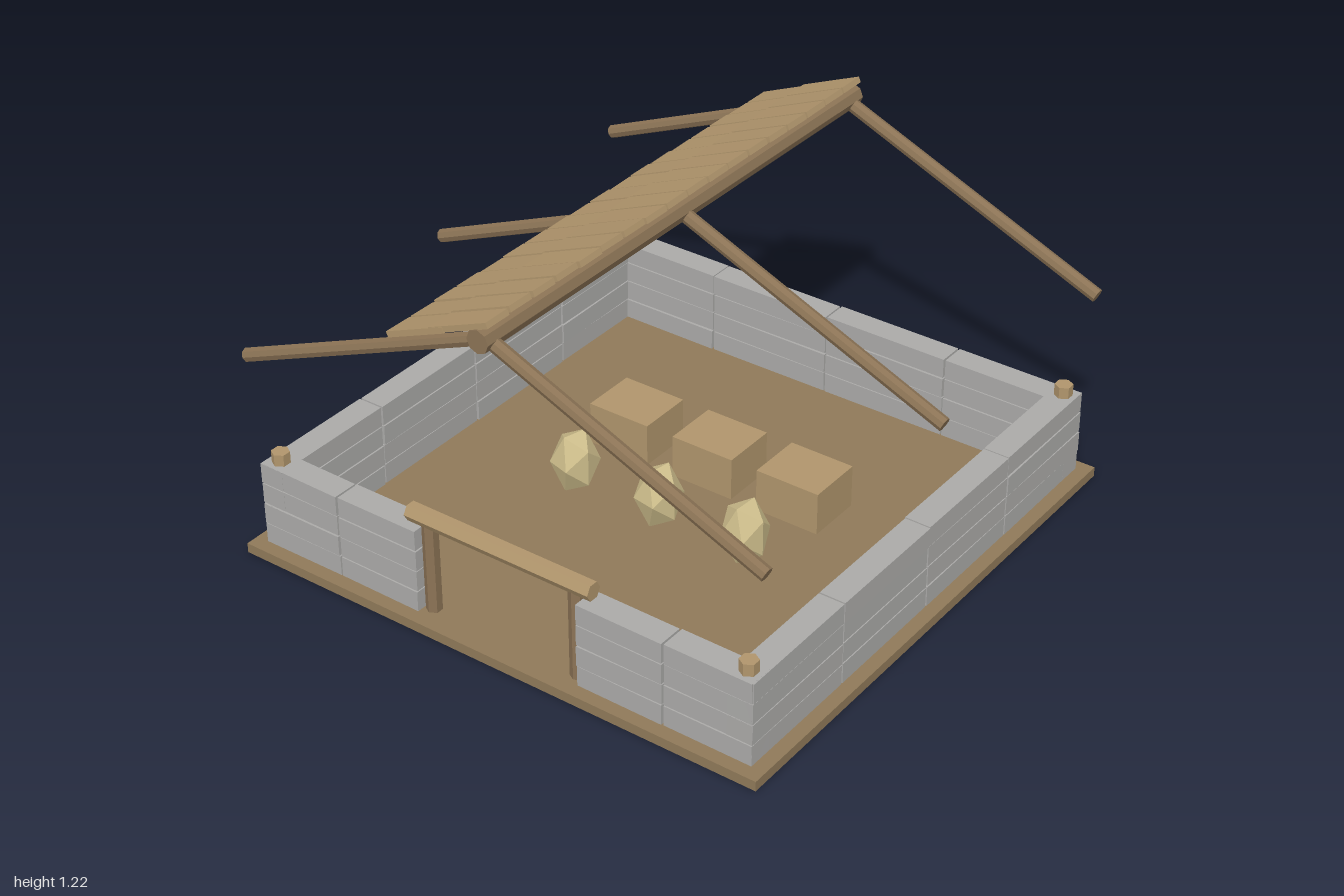
import * as THREE from 'three';

const mat = (name, color) => Object.assign(new THREE.MeshStandardMaterial({ color, flatShading: true }), { name });

export function createModel() {
  const earth = mat('earth brown', 0x8f7959);
  const log = mat('log brown', 0x8b7355);
  const timber = mat('light timber', 0xb0956c);
  const stone = mat('grey stone', 0xabaaa8);
  const shell = mat('pale shell', 0xcdbd8b);

  const model = new THREE.Group();
  model.name = 'roofedEnclosure';

  // Small seeded jitter for hand-laid parts
  let seed = 7;
  const jitter = (amount) => {
    seed = (seed * 16807) % 2147483647;
    return (seed / 2147483647 - 0.5) * 2 * amount;
  };

  const group = (name) => {
    const g = new THREE.Group();
    g.name = name;
    model.add(g);
    return g;
  };
  const add = (parent, name, geometry, material, x, y, z) => {
    const mesh = new THREE.Mesh(geometry, material);
    mesh.name = name;
    mesh.position.set(x, y, z);
    parent.add(mesh);
    return mesh;
  };
  // Round log running between two points
  const pole = (parent, name, a, b, radius, sides, material) => {
    const from = new THREE.Vector3(...a), to = new THREE.Vector3(...b);
    const dir = to.clone().sub(from);
    const mid = from.clone().add(to).multiplyScalar(0.5);
    const mesh = add(parent, name, new THREE.CylinderGeometry(radius, radius, dir.length(), sides), material, mid.x, mid.y, mid.z);
    mesh.quaternion.setFromUnitVectors(new THREE.Vector3(0, 1, 0), dir.normalize());
    return mesh;
  };

  // Floor slab
  const floorY = 0.035;
  add(model, 'floor', new THREE.BoxGeometry(2, floorY, 2), earth, 0, floorY / 2, 0);

  // Stone walls: four courses of slightly uneven blocks
  const courses = 4, course = 0.0762, thick = 0.092, wallAt = 0.907;
  const wall = (name, start, end, count, alongX, offset) => {
    const g = group(name);
    const step = (end - start) / count;
    for (let row = 0; row < courses; row++) {
      for (let i = 0; i < count; i++) {
        const length = step - 0.007 + jitter(0.003);
        const along = start + step * (i + 0.5);
        const y = floorY + course * (row + 0.5);
        const across = offset + jitter(0.002);
        const block = add(g, 'stoneBlock', new THREE.BoxGeometry(length, course - 0.004, thick), stone,
          alongX ? along : across, y, alongX ? across : along);
        block.rotation.y = (alongX ? 0 : Math.PI / 2) + jitter(0.006);
        block.rotation.z = jitter(0.005);
      }
    }
  };
  wall('backWall', -0.955, 0.955, 4, true, -wallAt);
  wall('leftWall', -0.955, 0.955, 4, false, wallAt);
  wall('rightWall', -0.955, 0.955, 4, false, -wallAt);
  wall('frontWallLeft', 0.31, 0.955, 2, true, wallAt);
  wall('frontWallRight', -0.955, -0.31, 2, true, wallAt);

  // Corner posts
  const corners = group('cornerPosts');
  for (const x of [-0.907, 0.907]) {
    for (const z of [-0.907, 0.907]) {
      add(corners, 'cornerPost', new THREE.CylinderGeometry(0.031, 0.031, 0.379, 6), timber, x, 0.1905, z);
    }
  }

  // Doorway
  const doorway = group('doorway');
  for (const x of [-0.285, 0.285]) pole(doorway, 'doorPost', [x, 0.02, 0.91], [x, 0.37, 0.91], 0.027, 6, log);
  pole(doorway, 'lintel', [-0.355, 0.383, 0.917], [0.355, 0.383, 0.917], 0.032, 6, timber);

  // Roof frame: ridge beam and three rafter pairs
  const roof = group('roof');
  pole(roof, 'ridgeBeam', [0, 1.148, -0.98], [0, 1.148, 0.98], 0.04, 8, log);
  for (const z of [-0.94, 0, 0.937]) {
    for (const side of [-1, 1]) pole(roof, 'rafter', [0, 1.142, z], [side * 0.982, 0.727, z], 0.024, 8, log);
  }

  // Two overlapping rows of roof planks on the right slope
  const slope = Math.atan2(0.415, 0.982);
  const rows = [{ x: -0.242, y: 1.092 }, { x: -0.078, y: 1.165 }];
  const plankCount = 18, pitch = 1.96 / plankCount;
  for (const row of rows) {
    for (let i = 0; i < plankCount; i++) {
      const plank = add(roof, 'roofPlank', new THREE.BoxGeometry(0.238, 0.02, pitch - 0.01 + jitter(0.003)), timber,
        row.x + jitter(0.003), row.y, -0.98 + pitch * (i + 0.5));
      plank.rotation.set(jitter(0.012), jitter(0.012), slope);
    }
  }

  // Three crates and three faceted eggs on the floor
  const crates = group('crates');
  for (const x of [-0.345, 0, 0.34]) {
    add(crates, 'crate', new THREE.BoxGeometry(0.24, 0.155, 0.205), timber, x, floorY + 0.0775, -0.227);
  }
  const eggs = group('eggs');
  [-0.345, 0, 0.342].forEach((x, i) => {
    const egg = add(eggs, 'egg', new THREE.IcosahedronGeometry(0.085, 0), shell, x, 0.138, 0.113);
    egg.scale.y = 1.45;
    egg.rotation.y = 1.3 + i * 0.1;
  });

  return model;
}
